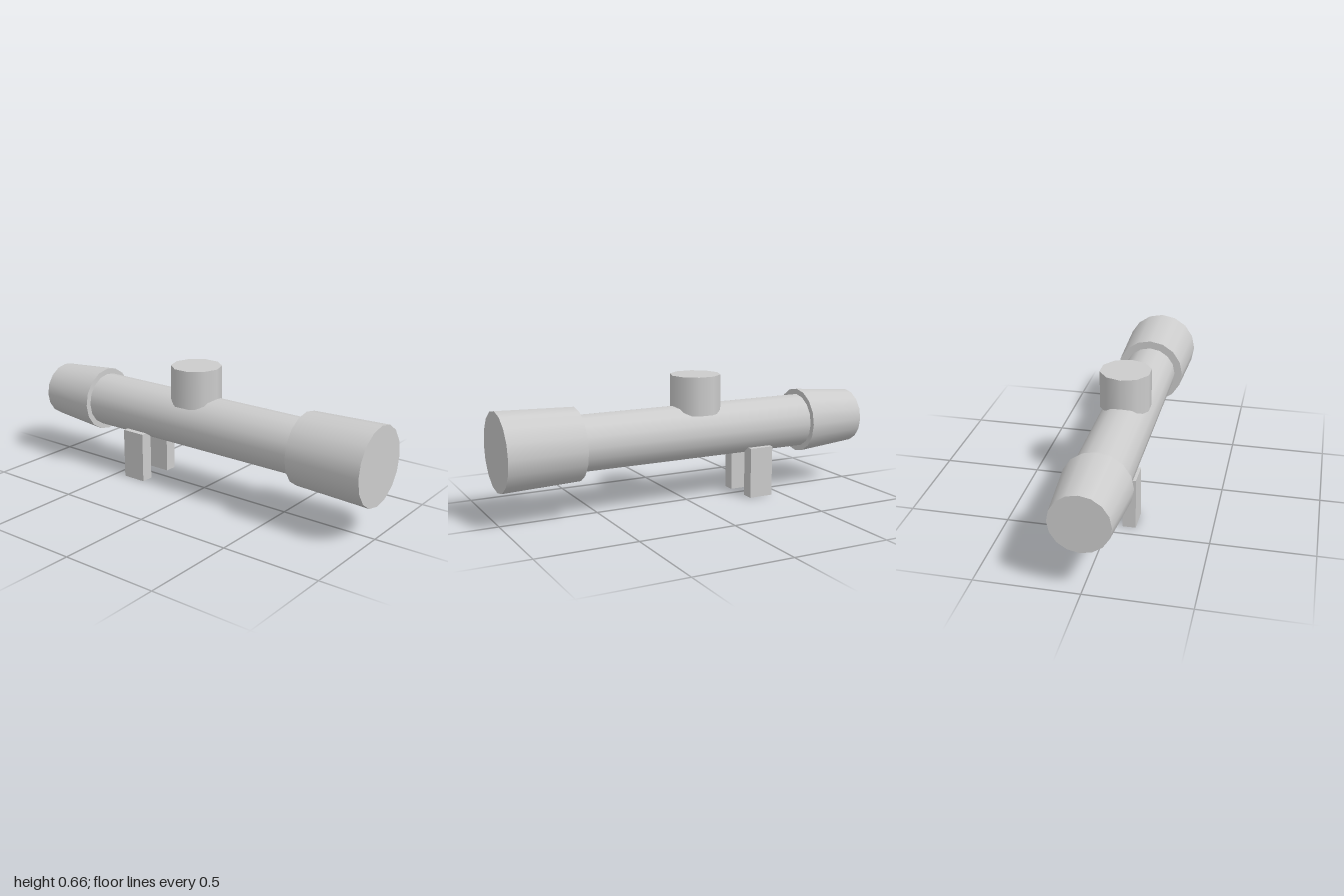
import * as THREE from 'three';

const AXIS_Y = 0.361; // height of the tube axis

export function createModel() {
  const model = new THREE.Group();
  model.name = 'scope';

  const grey = new THREE.MeshStandardMaterial({ color: 0xcccccc });
  grey.name = 'light grey';

  const add = (name, geometry, x, y, z) => {
    const mesh = new THREE.Mesh(geometry, grey);
    mesh.name = name;
    mesh.position.set(x, y, z);
    model.add(mesh);
  };

  // Sixteen-sided section along z, from zBack to zFront
  const section = (name, rFront, rBack, zFront, zBack) => {
    const geometry = new THREE.CylinderGeometry(rFront, rBack, zFront - zBack, 16);
    geometry.rotateX(Math.PI / 2);
    add(name, geometry, 0, AXIS_Y, (zFront + zBack) / 2);
  };

  section('mainTube', 0.141, 0.141, 0.7, -0.75);
  section('objectiveBell', 0.196, 0.183, 1, 0.608);
  section('eyepiece', 0.17, 0.143, -0.673, -1);

  // Adjustment turret on top
  add('turret', new THREE.CylinderGeometry(0.13, 0.13, 0.196, 10), 0, 0.558, -0.05);

  // Pair of mounting legs
  for (const [name, side] of [['leftLeg', 1], ['rightLeg', -1]]) {
    add(name, new THREE.BoxGeometry(0.065, 0.263, 0.13), side * 0.0985, 0.1315, -0.375);
  }

  return model;
}
